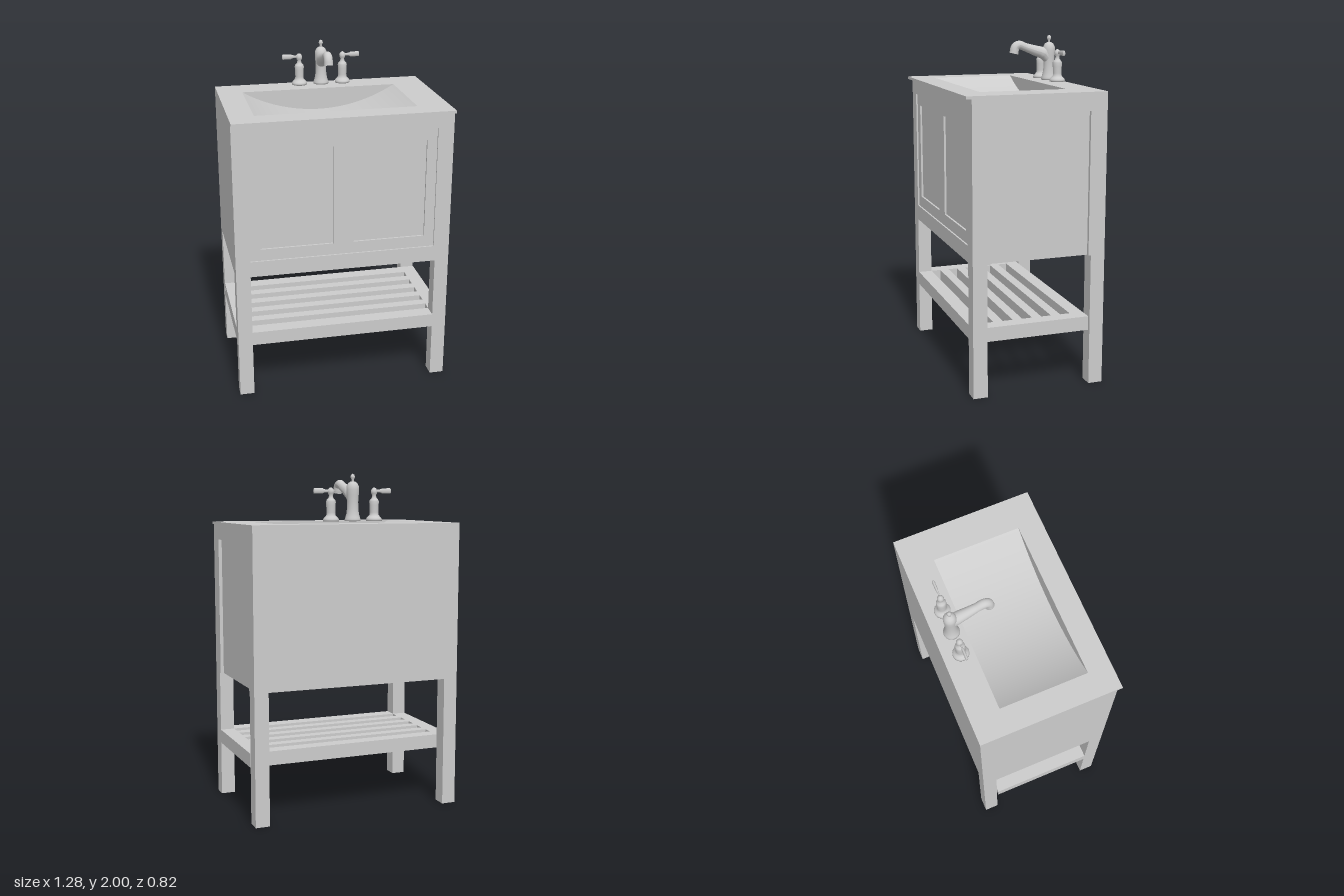
import * as THREE from 'three';

const material = new THREE.MeshStandardMaterial({ color: 0xcccccc });
const openMaterial = new THREE.MeshStandardMaterial({ color: 0xcccccc, side: THREE.DoubleSide });

function add(parent, name, geometry, mat = material) {
  const mesh = new THREE.Mesh(geometry, mat);
  mesh.name = name;
  parent.add(mesh);
  return mesh;
}

// Box given by its limits on each axis
function box(parent, name, [x0, x1], [y0, y1], [z0, z1]) {
  const g = new THREE.BoxGeometry(x1 - x0, y1 - y0, z1 - z0);
  g.translate((x0 + x1) / 2, (y0 + y1) / 2, (z0 + z1) / 2);
  return add(parent, name, g);
}

const rect = (Type, x0, x1, y0, y1) => new Type([
  new THREE.Vector2(x0, y0), new THREE.Vector2(x1, y0),
  new THREE.Vector2(x1, y1), new THREE.Vector2(x0, y1)]);

// Rectangular slab with rectangular holes, extruded along +z
function slab(outer, holes, depth) {
  const shape = rect(THREE.Shape, ...outer);
  holes.forEach((h) => shape.holes.push(rect(THREE.Path, ...h)));
  return new THREE.ExtrudeGeometry(shape, { depth, bevelEnabled: false });
}

function lathe(points) {
  return new THREE.LatheGeometry(points.map(([r, y]) => new THREE.Vector2(r, y)), 32);
}

// Round tube along points [x, y, z, radius]
function taperedTube(points) {
  const curve = new THREE.CatmullRomCurve3(points.map((p) => new THREE.Vector3(p[0], p[1], p[2])));
  const segments = 40, sides = 20;
  const g = new THREE.TubeGeometry(curve, segments, 1, sides, false);
  const pos = g.attributes.position, v = new THREE.Vector3();
  for (let i = 0; i <= segments; i++) {
    const centre = curve.getPointAt(i / segments);
    const t = curve.getUtoTmapping(i / segments) * (points.length - 1);
    const k = Math.min(Math.floor(t), points.length - 2);
    const radius = THREE.MathUtils.lerp(points[k][3], points[k + 1][3], t - k);
    for (let j = 0; j <= sides; j++) {
      const n = i * (sides + 1) + j;
      v.fromBufferAttribute(pos, n).sub(centre).multiplyScalar(radius).add(centre);
      pos.setXYZ(n, v.x, v.y, v.z);
    }
  }
  g.computeVertexNormals();
  return g;
}

const W = 0.642, LEG = 0.085, BODY = 0.78, TOP = 1.70, COUNTER = 1.716;
const BACK = -0.412, FRONT = 0.382;

function buildCabinet() {
  const cabinet = new THREE.Group();
  cabinet.name = 'cabinet';

  // Legs
  for (const side of [-1, 1]) {
    const x = side < 0 ? [-W, -W + LEG] : [W - LEG, W];
    box(cabinet, 'frontLeg', x, [0, BODY], [FRONT - LEG, FRONT]);
    box(cabinet, 'backLeg', x, [0, BODY], [BACK, BACK + LEG]);
  }

  // Face frame, recessed doors
  add(cabinet, 'faceFrame', slab([-W, W, BODY, TOP], [[-0.555, 0.547, 0.875, 1.61]], 0.03))
    .position.z = FRONT - 0.03;
  add(cabinet, 'doorFrame', slab([-0.555, 0.547, 0.875, 1.61],
    [[-0.495, -0.065, 0.945, 1.54], [0.055, 0.487, 0.945, 1.54]], 0.02)).position.z = FRONT - 0.03;
  box(cabinet, 'doorPanels', [-0.56, 0.55], [0.87, 1.615], [FRONT - 0.045, FRONT - 0.022]);

  // Carcass: plain back and one plain side
  box(cabinet, 'backPanel', [-W, W], [BODY, TOP], [BACK, BACK + 0.03]);
  box(cabinet, 'plainSide', [-W, -W + 0.03], [BODY, TOP], [BACK + 0.03, FRONT - 0.03]);
  box(cabinet, 'bottomPanel', [-W + 0.03, W - 0.022], [BODY, BODY + 0.02], [BACK + 0.03, FRONT - 0.03]);

  // Framed side with a recessed panel
  box(cabinet, 'sidePanel', [W - 0.04, W - 0.02], [BODY, TOP], [BACK + 0.03, FRONT - 0.03]);
  box(cabinet, 'sideFrontStile', [W - 0.03, W], [BODY, TOP], [0.28, FRONT - 0.03]);
  box(cabinet, 'sideBackStile', [W - 0.03, W], [BODY, TOP], [BACK + 0.03, -0.312]);
  box(cabinet, 'sideTopRail', [W - 0.03, W], [1.61, TOP], [-0.312, 0.28]);

  // Slatted shelf
  const slots = [];
  for (let i = 0; i < 5; i++) {
    const z = 0.295 - i * 0.118;
    slots.push([-W + LEG, W - LEG, -z, -z + 0.06]);
  }
  const shelf = slab([-W, W, -FRONT, 0.318], slots, 0.083);
  shelf.rotateX(-Math.PI / 2);
  add(cabinet, 'slattedShelf', shelf).position.y = 0.332;
  return cabinet;
}

function buildSink() {
  const sink = new THREE.Group();
  sink.name = 'sink';
  const [x0, x1, z0, z1, depth] = [-0.495, 0.45, -0.24, 0.275, 0.13];

  // Counter top with basin opening
  const top = slab([-W, W, -0.413, -BACK], [[x0, x1, -z1, -z0]], COUNTER - TOP);
  top.rotateX(-Math.PI / 2);
  add(sink, 'counterTop', top).position.y = TOP;

  // Basin floor: shallow cylindrical arc
  const half = (x1 - x0) / 2, cx = (x0 + x1) / 2;
  const R = (half * half + depth * depth) / (2 * depth);
  const angle = Math.asin(half / R), cy = COUNTER - depth + R;
  const floor = new THREE.CylinderGeometry(R, R, z1 - z0, 40, 1, true, -angle, 2 * angle);
  floor.rotateX(Math.PI / 2);
  add(sink, 'basinFloor', floor, openMaterial).position.set(cx, cy, (z0 + z1) / 2);

  // Basin end walls: circular segments
  const segment = new THREE.Shape();
  segment.absarc(0, 0, R, -Math.PI / 2 - angle, -Math.PI / 2 + angle, false);
  for (const z of [z0, z1]) {
    add(sink, 'basinWall', new THREE.ShapeGeometry(segment, 40), openMaterial).position.set(cx, cy, z);
  }
  return sink;
}

function buildHandle(side) {
  const handle = new THREE.Group();
  handle.name = side < 0 ? 'rightHandle' : 'leftHandle';
  add(handle, 'handleBody', lathe([[0, 0], [0.046, 0], [0.046, 0.01], [0.042, 0.018], [0.033, 0.027],
    [0.026, 0.036], [0.025, 0.05], [0.027, 0.09], [0.028, 0.112], [0.024, 0.122], [0.014, 0.132],
    [0.011, 0.148], [0.017, 0.158], [0.019, 0.17], [0.015, 0.182], [0.007, 0.19], [0, 0.191]]));
  // Flattened lever pointing outwards
  const lever = lathe([[0, 0], [0.009, 0], [0.008, 0.03], [0.011, 0.045], [0.015, 0.05],
    [0.016, 0.1], [0.014, 0.105], [0, 0.106]]);
  lever.scale(1, 1, 0.5);
  lever.rotateZ(-side * Math.PI / 2);
  add(handle, 'lever', lever).position.y = 0.172;
  return handle;
}

function buildFaucet() {
  const faucet = new THREE.Group();
  faucet.name = 'faucet';
  for (const side of [-1, 1]) {
    const handle = buildHandle(side);
    handle.position.x = side * 0.135;
    faucet.add(handle);
  }
  // Spout column
  add(faucet, 'spoutColumn', lathe([[0, 0], [0.046, 0], [0.046, 0.01], [0.042, 0.022], [0.037, 0.04],
    [0.033, 0.07], [0.032, 0.11], [0.035, 0.15], [0.037, 0.18], [0.035, 0.2], [0.026, 0.217],
    [0.012, 0.226], [0, 0.227]]));
  // Lift knob
  add(faucet, 'liftKnob', lathe([[0.007, 0.22], [0.007, 0.238], [0.012, 0.246], [0.013, 0.254],
    [0.009, 0.264], [0, 0.27]]));
  // Spout arm with a downturned tip
  add(faucet, 'spoutArm', taperedTube([[0, 0.13, 0.01, 0.03], [0, 0.16, 0.04, 0.036],
    [0, 0.177, 0.09, 0.031], [0, 0.197, 0.15, 0.025], [0, 0.212, 0.195, 0.026],
    [0, 0.2, 0.218, 0.026], [0, 0.166, 0.226, 0.027]]), openMaterial);
  const tip = add(faucet, 'spoutTip', new THREE.CylinderGeometry(0.027, 0.027, 0.014, 24));
  tip.position.set(0, 0.168, 0.2255);
  tip.rotation.x = -0.22;
  faucet.position.set(0.005, 1.73, -0.312);
  return faucet;
}

export function createModel() {
  const model = new THREE.Group();
  model.name = 'bathroomVanity';
  model.add(buildCabinet(), buildSink(), buildFaucet());
  return model;
}
